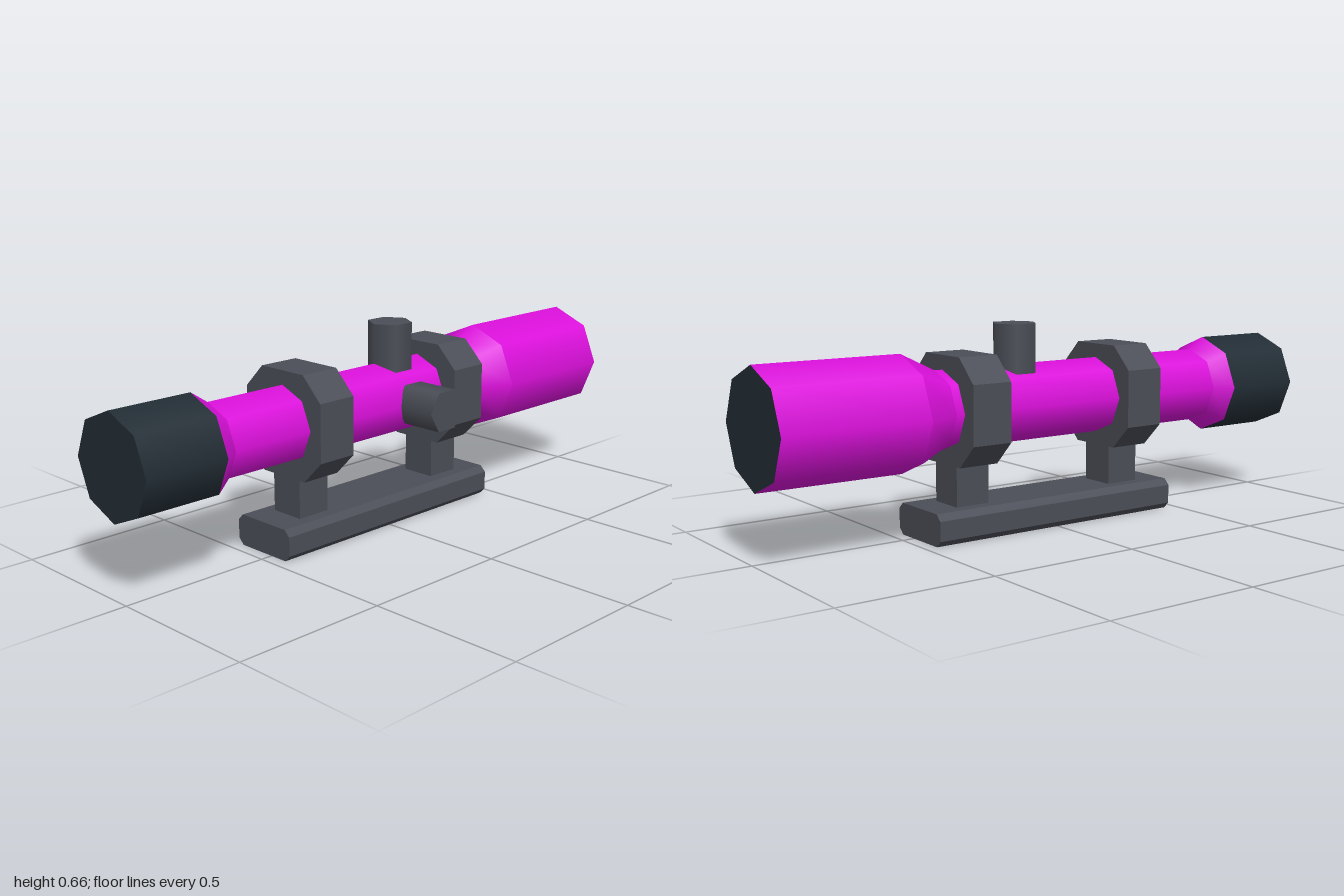
import * as THREE from 'three';

const AX = -0.035, AY = 0.4; // optical axis

export function createModel() {
  const model = new THREE.Group();
  model.name = 'scope';
  const mat = (name, color) => {
    const m = new THREE.MeshStandardMaterial({ color });
    m.name = name;
    return m;
  };
  const magenta = mat('magenta', 0xdc10dc);
  const dark = mat('dark slate', 0x222d35);
  const grey = mat('grey metal', 0x4b4e57);

  const add = (name, geometry, material) => {
    const mesh = new THREE.Mesh(geometry, material);
    mesh.name = name;
    model.add(mesh);
    return mesh;
  };

  // Eight-sided section along the optical axis, from z0 (back) to z1 (front)
  const section = (name, z0, r0, z1, r1, material, open = true) => {
    const g = new THREE.CylinderGeometry(r1, r0, z1 - z0, 8, 1, open);
    g.rotateX(Math.PI / 2);
    g.translate(AX, AY, (z0 + z1) / 2);
    return add(name, g, material);
  };

  // Block with chamfered long edges, running along z
  const chamferBlock = (name, cx, cy, w, h, c, z0, z1) => {
    const a = w / 2, b = h / 2;
    const shape = new THREE.Shape([
      [a, c - b], [a, b - c], [a - c, b], [c - a, b],
      [-a, b - c], [-a, c - b], [c - a, -b], [a - c, -b],
    ].map(([x, y]) => new THREE.Vector2(x, y)));
    const g = new THREE.ExtrudeGeometry(shape, { depth: z1 - z0, bevelEnabled: false });
    g.translate(cx, cy, z0);
    return add(name, g, grey);
  };

  // Tube, tapers and ends
  section('eyepiece', 0.72, 0.165, 1, 0.165, dark, false);
  section('eyepieceTaper', 0.66, 0.125, 0.72, 0.165, magenta);
  section('mainTube', -0.4, 0.125, 0.66, 0.125, magenta);
  section('objectiveTaper', -0.52, 0.183, -0.4, 0.125, magenta);
  section('objectiveBell', -1, 0.183, -0.52, 0.183, [magenta, magenta, dark], false);

  // Mount rings and posts
  for (const z of [0.302, -0.302]) {
    chamferBlock('mountRing', AX, 0.401, 0.339, 0.339, 0.076, z - 0.069, z + 0.069);
    const post = new THREE.BoxGeometry(0.119, 0.16, 0.118);
    post.translate(AX, 0.17, z);
    add('mountPost', post, grey);
  }

  // Base rail
  chamferBlock('baseRail', AX, 0.051, 0.239, 0.102, 0.02, -0.46, 0.46);

  // Hexagonal adjustment knobs
  const topKnob = new THREE.CylinderGeometry(0.074, 0.074, 0.171, 6);
  topKnob.translate(AX, 0.5705, -0.1);
  add('topKnob', topKnob, grey);
  const sideKnob = new THREE.CylinderGeometry(0.074, 0.074, 0.15, 6);
  sideKnob.rotateZ(-Math.PI / 2);
  sideKnob.translate(0.145, AY, -0.1);
  add('sideKnob', sideKnob, grey);

  return model;
}
